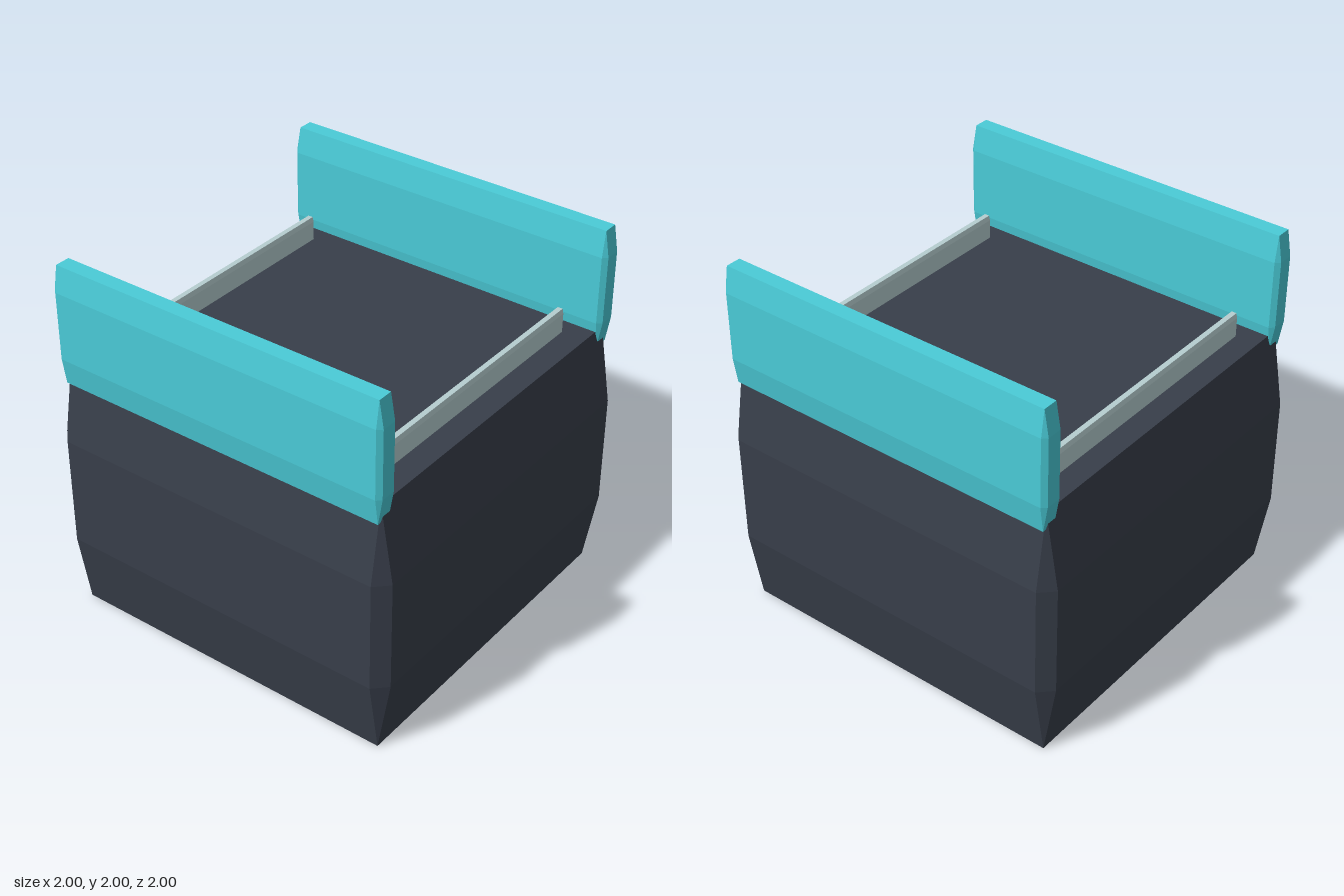
import * as THREE from 'three';

// Chamfered block: a sharp-cornered rectangle at both ends and a wider octagon between yLow and yHigh.
function chamferedBlock({ x, z, bx, bz, y }) {
  const ring = (level, px, pz) => {
    const pts = [];
    for (const [sx, sz] of [[1, 1], [1, -1], [-1, -1], [-1, 1]]) {
      const alongZ = [sx * x, level, sz * (z + pz)];
      const alongX = [sx * (x + px), level, sz * z];
      pts.push(...(sx * sz > 0 ? [alongZ, alongX] : [alongX, alongZ]));
    }
    return pts;
  };
  const rings = [ring(y[0], 0, 0), ring(y[1], bx, bz), ring(y[2], bx, bz), ring(y[3], 0, 0)];
  const pos = [];
  const tri = (a, b, c) => {
    const p = new THREE.Triangle(...[a, b, c].map((v) => new THREE.Vector3(...v)));
    if (p.getArea() > 1e-9) pos.push(...a, ...b, ...c);
  };
  // Side walls
  for (let r = 0; r < 3; r++) {
    for (let i = 0; i < 8; i++) {
      const j = (i + 1) % 8;
      const [a, b, c, d] = [rings[r][i], rings[r][j], rings[r + 1][j], rings[r + 1][i]];
      tri(a, b, c);
      tri(a, c, d);
    }
  }
  // Flat ends
  for (let i = 1; i < 7; i++) {
    tri(rings[3][0], rings[3][i], rings[3][i + 1]);
    tri(rings[0][0], rings[0][i + 1], rings[0][i]);
  }
  const geo = new THREE.BufferGeometry();
  geo.setAttribute('position', new THREE.Float32BufferAttribute(pos, 3));
  geo.computeVertexNormals();
  return geo;
}

export function createModel() {
  const group = new THREE.Group();
  const material = (name, color) => {
    const m = new THREE.MeshStandardMaterial({ color });
    m.name = name;
    return m;
  };
  const slate = material('dark slate', 0x383e4a);
  const teal = material('teal', 0x4acbd7);
  const grey = material('pale grey', 0xb6ced0);

  const add = (name, geo, mat, x = 0, z = 0) => {
    const mesh = new THREE.Mesh(geo, mat);
    mesh.name = name;
    mesh.position.set(x, 0, z);
    group.add(mesh);
  };

  // Main box
  add('body', chamferedBlock({ x: 0.93, z: 0.93, bx: 0.07, bz: 0.07, y: [0, 0.415, 1.02, 1.435] }), slate);

  // Raised panels along both sides
  const panel = chamferedBlock({ x: 0.041, z: 0.935, bx: 0.022, bz: 0.024, y: [1.345, 1.49, 1.86, 2] });
  add('leftPanel', panel, teal, 0.918);
  add('rightPanel', panel, teal, -0.918);

  // Thin rails across the top
  const rail = chamferedBlock({ x: 0.766, z: 0.014, bx: 0.004, bz: 0.006, y: [1.405, 1.43, 1.54, 1.566] });
  add('frontRail', rail, grey, 0, 0.777);
  add('backRail', rail, grey, 0, -0.785);

  return group;
}
